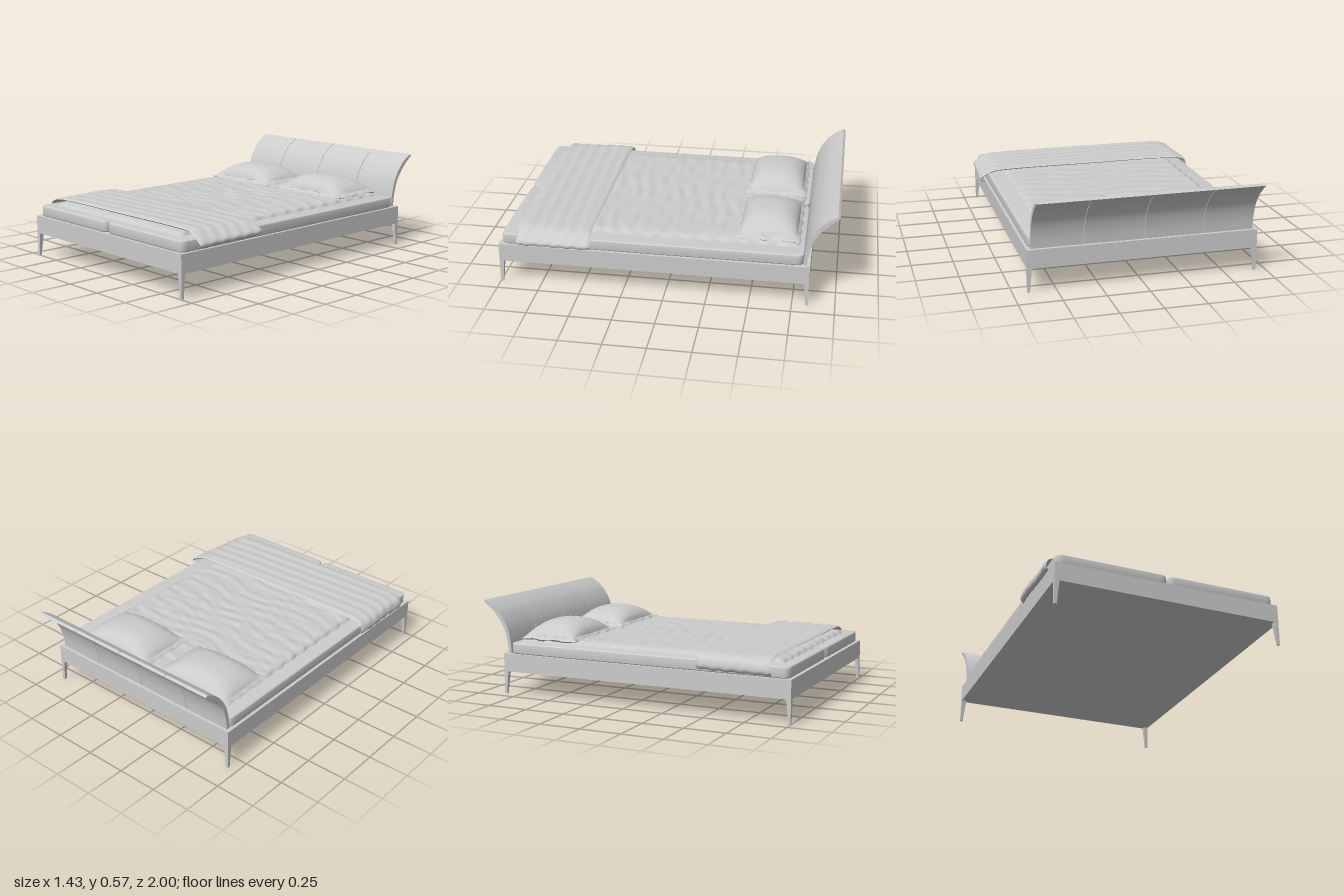
import * as THREE from 'three';
import { mergeGeometries, toCreasedNormals } from 'three/addons/utils/BufferGeometryUtils.js';

const CX = -0.013; // middle of the bed frame
const grey = new THREE.MeshStandardMaterial({ color: 0xcccccc, side: THREE.DoubleSide });

function part(name, geometry, x = 0, y = 0, z = 0) {
  const mesh = new THREE.Mesh(geometry, grey);
  mesh.name = name;
  mesh.position.set(x, y, z);
  return mesh;
}

// Closed soft sheet: f(u, v, side) gives a point, u and v in -1..1, side +1 above and -1 below
function softSheet(nu, nv, f) {
  const layers = [1, -1].map((side) => {
    const g = new THREE.PlaneGeometry(2, 2, nu, nv);
    const p = g.attributes.position;
    for (let i = 0; i < p.count; i++) p.setXYZ(i, ...f(p.getX(i), -p.getY(i), side));
    if (side < 0) g.index.array.reverse();
    g.computeVertexNormals();
    return g;
  });
  return mergeGeometries(layers);
}

// Smooth falloff that reaches zero on the rim
const dome = (u, v, power, soft) =>
  Math.pow(Math.max(0, (1 - Math.abs(u) ** power) * (1 - Math.abs(v) ** power)), soft);

// Crumpled cloth, with longer folds across the bed
const wrinkle = (x, z) =>
  Math.sin(z * 62 + 2.2 * Math.sin(x * 9 + z * 4)) * 0.5 +
  Math.sin(z * 95 - x * 21 + 1.8 * Math.sin(x * 17)) * 0.3 +
  Math.sin(x * 33 + z * 27 + 2 * Math.sin(z * 13)) * 0.2;

function mattress(w, d, h) {
  const r = 0.035, b = 0.008, x = w / 2 - b, y = d / 2 - b;
  const s = new THREE.Shape();
  s.moveTo(-x + r, -y).lineTo(x - r, -y).quadraticCurveTo(x, -y, x, -y + r);
  s.lineTo(x, y - r).quadraticCurveTo(x, y, x - r, y);
  s.lineTo(-x + r, y).quadraticCurveTo(-x, y, -x, y - r);
  s.lineTo(-x, -y + r).quadraticCurveTo(-x, -y, -x + r, -y);
  const g = new THREE.ExtrudeGeometry(s, {
    depth: h - 2 * b, bevelSize: b, bevelThickness: b, bevelSegments: 3, curveSegments: 6,
  });
  return toCreasedNormals(g.rotateX(-Math.PI / 2).translate(0, b, 0), 0.7);
}

function headboardPanel(width) {
  const v = (a) => a.map(([z, y]) => new THREE.Vector2(z, y));
  const front = v([[-0.805, 0.25], [-0.812, 0.33], [-0.838, 0.42], [-0.885, 0.495], [-0.935, 0.54], [-0.985, 0.57]]);
  const back = v([[-0.998, 0.56], [-0.95, 0.522], [-0.903, 0.475], [-0.86, 0.41], [-0.835, 0.33], [-0.825, 0.25]]);
  const s = new THREE.Shape([
    ...new THREE.SplineCurve(front).getPoints(20),
    ...new THREE.SplineCurve(back).getPoints(20),
  ]);
  const g = new THREE.ExtrudeGeometry(s, { depth: width, bevelEnabled: false });
  return toCreasedNormals(g.rotateY(-Math.PI / 2).translate(width / 2, 0, 0), 0.6);
}

// Square leg, tapered toward the bed's outer corner
function leg(sx, sz) {
  const g = new THREE.BoxGeometry(0.028, 0.14, 0.028);
  const p = g.attributes.position;
  for (let i = 0; i < p.count; i++) {
    if (p.getY(i) > 0) continue;
    if (p.getX(i) * sx < 0) p.setX(i, -sx * 0.001);
    if (p.getZ(i) * sz < 0) p.setZ(i, -sz * 0.001);
  }
  g.computeVertexNormals();
  return g;
}

function duvet() {
  return softSheet(110, 150, (u, v, side) => {
    const ragged = 0.006;
    const x = -0.015 + u * 0.573 + Math.sign(u) * u ** 8 * ragged * Math.sin(v * 47);
    const z = 0.07 + v * 0.848 + Math.sign(v) * v ** 8 * ragged * Math.sin(u * 31);
    const k = dome(u, v, 24, 0.5);
    return [x, side > 0 ? 0.314 + k * (0.0265 + 0.0045 * wrinkle(x, z)) : 0.312, z];
  });
}

// Flat pillow lying under the plump one
function flatPillow(cx) {
  return softSheet(40, 30, (u, v, side) => {
    const k = dome(u, v, 8, 0.5);
    const x = cx + u * (0.27 + 0.004 * Math.sin(v * 14));
    const z = -0.585 + v * (0.19 + 0.004 * Math.sin(u * 17));
    return [x, 0.338 + k * (side > 0 ? 0.022 : -0.016) + 0.003 * Math.sin(u * 13 + v * 8), z];
  });
}

function plumpPillow(cx) {
  return softSheet(56, 44, (u, v, side) => {
    const x = cx + u * 0.244 * (1 - 0.04 * (1 - u * u) * v * v - 0.03 * Math.abs(v) ** 6);
    const z = -0.588 + v * 0.172 * (1 - 0.05 * Math.abs(u) ** 6);
    const k = Math.pow(1 - Math.abs(u) ** 2.6, 0.75) * Math.pow(1 - Math.abs(v) ** 2.8, 0.65);
    const crease = 0.003 * Math.sin(u * 24 + 2 * Math.sin(v * 3)) * v * v * k;
    return [x, 0.357 + (side > 0 ? k * 0.084 + crease : -k * 0.015), z];
  });
}

// Blanket across the foot, hanging over both sides
function throwBlanket() {
  const path = new THREE.CatmullRomCurve3([
    [-0.688, 0.262], [-0.702, 0.285], [-0.69, 0.322], [-0.64, 0.342], [-0.5, 0.349], [0, 0.35],
    [0.5, 0.349], [0.6, 0.342], [0.65, 0.318], [0.688, 0.285], [0.664, 0.262],
  ].map(([x, y]) => new THREE.Vector3(x, y, 0)), false, 'centripetal');
  return softSheet(100, 40, (u, v, side) => {
    const t = (u + 1) / 2;
    const p = path.getPoint(t), n = path.getTangent(t);
    const h = side * 0.009 * dome(u, v, 20, 0.5);
    const hang = THREE.MathUtils.smoothstep(Math.abs(p.x), 0.55, 0.7);
    const flare = p.x > 0 ? hang * 0.024 * Math.max(0, 0.6 - v) / 1.6 : hang * 0.003 * Math.sin(v * 4);
    const ripple = 0.0025 * Math.sin(v * 17 + 1.5 * Math.sin(u * 5)) * (1 - v ** 8);
    return [
      p.x - n.y * h + flare,
      p.y + n.x * h + ripple + hang * 0.008 * (0.4 - v) * (p.x > 0 ? 1 : 0.4),
      0.66 + v * 0.216 + hang * 0.008 * Math.sign(v) * v * v,
    ];
  });
}

export function createModel() {
  const bed = new THREE.Group();
  bed.name = 'bed';

  // Frame and legs
  bed.add(part('frame', new THREE.BoxGeometry(1.362, 0.11, 1.845), CX, 0.195, 0.0775));
  for (const sx of [-1, 1]) {
    for (const sz of [-1, 1]) {
      bed.add(part(sz > 0 ? 'frontLeg' : 'backLeg', leg(sx, sz), CX + sx * 0.667, 0.07, 0.0775 + sz * 0.9085));
    }
  }

  // Curved headboard of four panels with narrow seams
  const seams = [-0.672, -0.367, -0.015, 0.337, 0.643];
  for (let i = 0; i < 4; i++) {
    const w = seams[i + 1] - seams[i];
    bed.add(part('headboardPanel', headboardPanel(w - 0.003), (seams[i] + seams[i + 1]) / 2));
  }

  // Bedding
  for (const s of [-1, 1]) {
    bed.add(part('mattress', mattress(0.662, 1.79, 0.066), CX + s * 0.335, 0.249, 0.087));
    bed.add(part('flatPillow', flatPillow(s < 0 ? -0.34 : 0.27)));
    bed.add(part('plumpPillow', plumpPillow(s < 0 ? -0.347 : 0.27)));
  }
  bed.add(part('duvet', duvet()));
  bed.add(part('throwBlanket', throwBlanket()));
  return bed;
}
